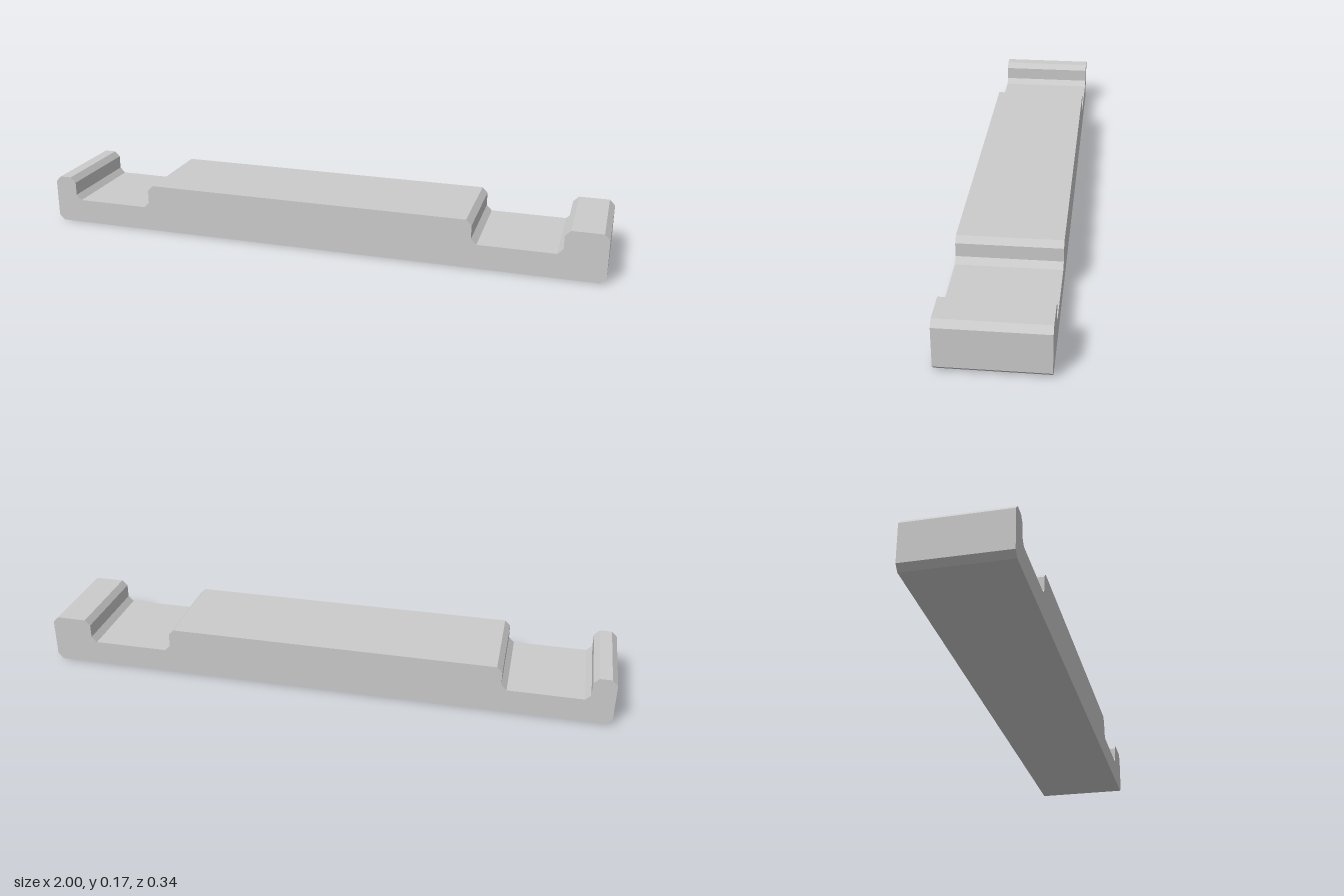
import * as THREE from 'three';

const HEIGHT = 0.171, FLOOR = 0.086, DEPTH = 0.342, C = 0.019;

export function createModel() {
  const group = new THREE.Group();
  group.name = 'notchedBar';

  // Half profile of one chamfered step, rising from the recess floor to the top at x
  // dir = 1 rises towards +x, dir = -1 falls towards +x
  const step = (x, dir) => {
    const points = [
      [x - dir * C, FLOOR], [x, FLOOR + C],
      [x, HEIGHT - C], [x + dir * C, HEIGHT],
    ];
    return dir > 0 ? points : points.reverse();
  };

  // Outline: chamfered ends, two recesses and a raised middle
  const outline = [
    [-1, C], [-1, HEIGHT - C], [-1 + C, HEIGHT],
    ...step(-0.921, -1),
    ...step(-0.625, 1),
    ...step(0.555, -1),
    ...step(0.857, 1),
    [1 - C, HEIGHT], [1, HEIGHT - C], [1, C], [1 - C, 0], [-1 + C, 0],
  ];
  const shape = new THREE.Shape(outline.map(([x, y]) => new THREE.Vector2(x, y)));

  // Bar body, extruded front to back
  const geometry = new THREE.ExtrudeGeometry(shape, { depth: DEPTH, bevelEnabled: false });
  geometry.translate(0, 0, -DEPTH / 2);
  const bar = new THREE.Mesh(
    geometry,
    new THREE.MeshStandardMaterial({ color: 0xcccccc, flatShading: true }),
  );
  bar.name = 'barBody';
  group.add(bar);

  return group;
}
